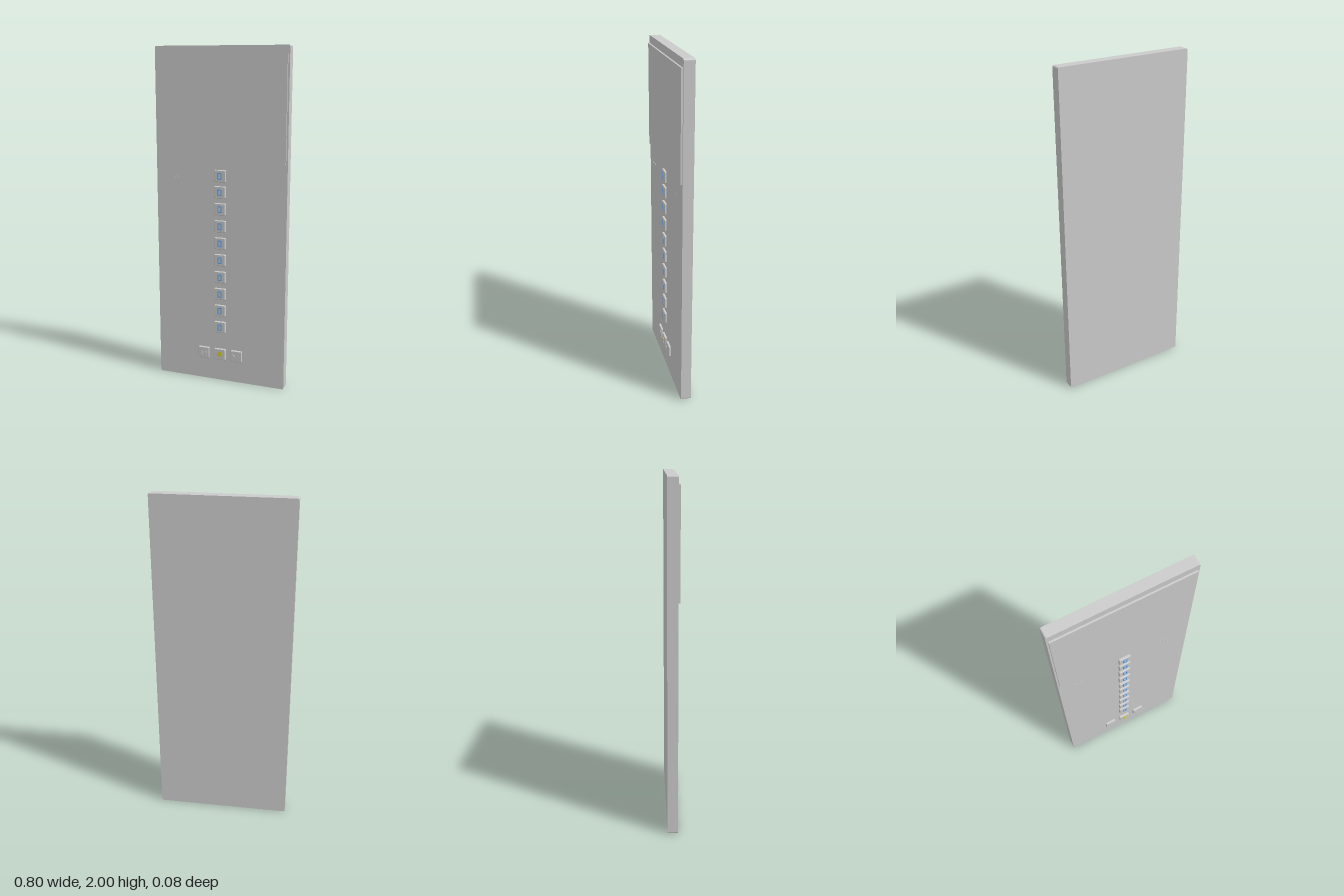
import * as THREE from 'three';

const grey = new THREE.MeshStandardMaterial({ color: 0xcccccc });
const blue = new THREE.MeshStandardMaterial({ color: 0x6fa8e8 });
const yellow = new THREE.MeshStandardMaterial({ color: 0xd8d020 });

function roundedRect(w, h, r) {
  const s = new THREE.Shape();
  const x = w / 2, y = h / 2;
  s.moveTo(-x + r, -y);
  s.lineTo(x - r, -y);
  s.absarc(x - r, -y + r, r, -Math.PI / 2, 0);
  s.lineTo(x, y - r);
  s.absarc(x - r, y - r, r, 0, Math.PI / 2);
  s.lineTo(-x + r, y);
  s.absarc(-x + r, y - r, r, Math.PI / 2, Math.PI);
  s.lineTo(-x, -y + r);
  s.absarc(-x + r, -y + r, r, Math.PI, Math.PI * 1.5);
  return s;
}

const extrude = (shape, depth) =>
  new THREE.ExtrudeGeometry(shape, { depth, bevelEnabled: false, curveSegments: 8 });

function add(parent, name, geometry, material, x, y, z) {
  const mesh = new THREE.Mesh(geometry, material);
  mesh.name = name;
  mesh.position.set(x, y, z);
  parent.add(mesh);
  return mesh;
}

export function createModel() {
  const model = new THREE.Group();
  model.name = 'controlPanel';

  // Backing plate with slightly rounded corners, and the raised display
  add(model, 'plate', extrude(roundedRect(0.8, 2, 0.01), 0.06), grey, 0, 1, -0.04);
  add(model, 'display', new THREE.BoxGeometry(0.78, 0.605, 0.01), grey, 0, 1.6525, 0.025);

  // Button cap with a chamfered front rim
  const capGeometry = new THREE.ExtrudeGeometry(roundedRect(0.064, 0.064, 0.002), {
    depth: 0.01, bevelEnabled: true, bevelThickness: 0.003, bevelSize: 0.003, bevelSegments: 1,
  });
  const faceZ = 0.033;
  const button = (name, x, y) => {
    const group = new THREE.Group();
    group.name = name;
    group.position.set(x, y, 0);
    add(group, 'cap', capGeometry, grey, 0, 0, 0.02);
    model.add(group);
    return group;
  };

  // Column of floor buttons, each with a raised blue indicator frame
  const frame = roundedRect(0.026, 0.04, 0.006);
  frame.holes.push(roundedRect(0.014, 0.028, 0.003));
  const frameGeometry = extrude(frame, 0.003);
  const floorHeights = [0.345, 0.45, 0.555, 0.66, 0.765, 0.867, 0.97, 1.073, 1.173, 1.268];
  for (const y of floorHeights) {
    add(button('floorButton', 0, y), 'indicator', frameGeometry, blue, 0, 0, faceZ);
  }

  // Door buttons: triangles pointing apart (open) or together (close)
  const triangle = new THREE.Shape();
  triangle.moveTo(0.009, 0);
  triangle.lineTo(-0.006, 0.012);
  triangle.lineTo(-0.006, -0.012);
  triangle.closePath();
  const triangleGeometry = extrude(triangle, 0.002);
  for (const side of [-1, 1]) {
    const door = button(side < 0 ? 'doorOpenButton' : 'doorCloseButton', side * 0.105, 0.17);
    for (const end of [-1, 1]) {
      const arrow = add(door, 'arrow', triangleGeometry, grey, end * 0.015, 0, faceZ);
      if (end * side > 0) arrow.rotation.z = Math.PI;
      if (side < 0 && end < 0) arrow.rotation.z = Math.PI;
      if (side < 0 && end > 0) arrow.rotation.z = 0;
      if (side > 0 && end < 0) arrow.rotation.z = 0;
    }
  }

  // Alarm button with a yellow bell
  const alarm = button('alarmButton', 0, 0.17);
  const bell = new THREE.Shape();
  bell.moveTo(-0.018, -0.01);
  bell.lineTo(0.018, -0.01);
  bell.quadraticCurveTo(0.012, -0.004, 0.012, 0.004);
  bell.absarc(0, 0.006, 0.012, 0, Math.PI);
  bell.quadraticCurveTo(-0.012, -0.004, -0.018, -0.01);
  add(alarm, 'bell', extrude(bell, 0.003), yellow, 0, 0, faceZ);
  const clapper = new THREE.CylinderGeometry(0.004, 0.004, 0.003, 12).rotateX(Math.PI / 2);
  add(alarm, 'clapper', clapper, yellow, 0, -0.015, faceZ + 0.0015);

  // Row of three small dots on one side, three short bars on the other
  const dot = new THREE.CylinderGeometry(0.008, 0.008, 0.002, 16).rotateX(Math.PI / 2);
  const bar = new THREE.BoxGeometry(0.011, 0.028, 0.001);
  for (let i = -1; i <= 1; i++) {
    add(model, 'dot', dot, grey, -0.291 + i * 0.021, 1.247, 0.021);
    add(model, 'bar', bar, grey, 0.25 + i * 0.017, 1.245, 0.0205);
  }

  return model;
}
